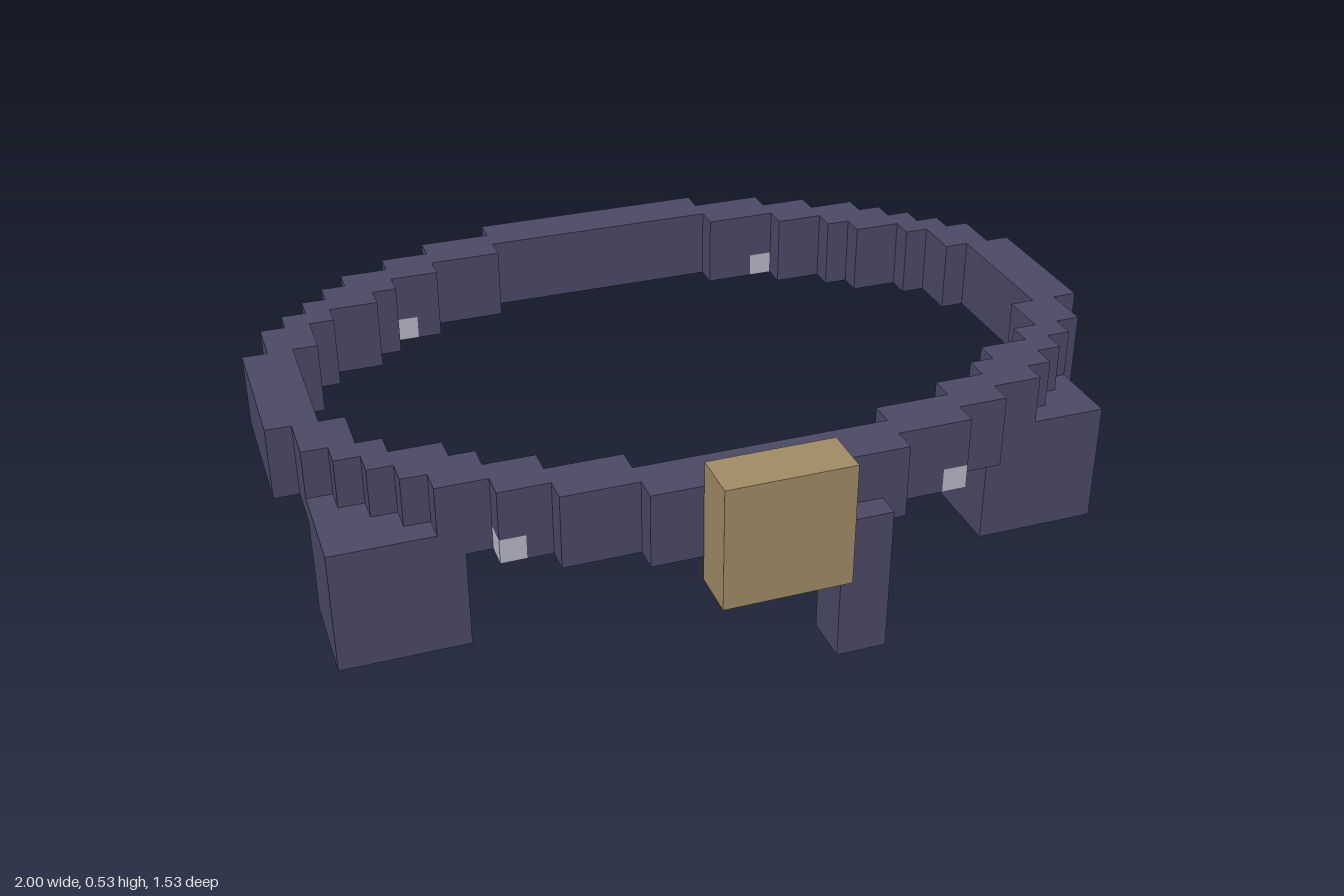
import * as THREE from 'three';

const U = 1 / 17; // one block unit

export function createModel() {
  const leather = new THREE.MeshStandardMaterial({ color: 0x4b4965 });
  leather.name = 'dark leather';
  const brass = new THREE.MeshStandardMaterial({ color: 0xa18c64 });
  brass.name = 'dull brass';
  const steel = new THREE.MeshStandardMaterial({ color: 0xb9b8c8 });
  steel.name = 'pale steel';

  const group = new THREE.Group();
  group.name = 'utilityBelt';

  // Box given by its limits in block units
  function block(name, material, x0, x1, y0, y1, z0, z1, parent = group) {
    const mesh = new THREE.Mesh(
      new THREE.BoxGeometry((x1 - x0) * U, (y1 - y0) * U, (z1 - z0) * U), material);
    mesh.position.set((x0 + x1) / 2 * U, (y0 + y1) / 2 * U, (z0 + z1) / 2 * U);
    mesh.name = name;
    parent.add(mesh);
    return mesh;
  }

  // Stepped oval band: x0, x1, z0, z1 for the back quarter, mirrored about x = 0 and z = -1
  const band = new THREE.Group();
  band.name = 'beltBand';
  group.add(band);
  const steps = [
    [5, 8, -12, -10], [8, 10, -11, -9], [10, 11, -10, -8], [11, 12, -10, -7],
    [12, 13, -9, -7], [13, 14, -8, -6], [14, 15, -7, -4], [15, 16, -6, -1], [16, 17, -4, -1],
  ];
  for (const front of [false, true]) {
    const zs = (a, b) => (front ? [-2 - b, -2 - a] : [a, b]);
    block('bandBar', leather, -5, 5, 5, 8, ...zs(-13, -11), band);
    for (const side of [1, -1]) {
      const xs = (a, b) => (side > 0 ? [a, b] : [-b, -a]);
      // The outermost column of one step on each side holds a steel loop
      const loopEnd = side > 0 ? 8 : 10;
      for (const [x0, x1, z0, z1] of steps) {
        const z = zs(z0, z1);
        if (x1 === loopEnd) {
          block('bandStep', leather, ...xs(x0, x1 - 1), 5, 8, ...z, band);
          block('bandStepOverLoop', leather, ...xs(x1 - 1, x1), 6, 8, ...z, band);
          block('steelLoop', steel, ...xs(x1 - 1, x1), 5, 6, ...z);
        } else {
          block('bandStep', leather, ...xs(x0, x1), 5, 8, ...z, band);
        }
      }
    }
  }

  // Buckle, pouches and hanging strap
  block('buckle', brass, -3, 2, 4, 9, 11, 13);
  block('leftPouch', leather, 10, 15, 1, 6, 4, 8);
  block('rightPouch', leather, -16, -11, 1, 6, 4, 8);
  block('hangingStrap', leather, 2, 4, 0, 6, 10, 12);

  return group;
}
